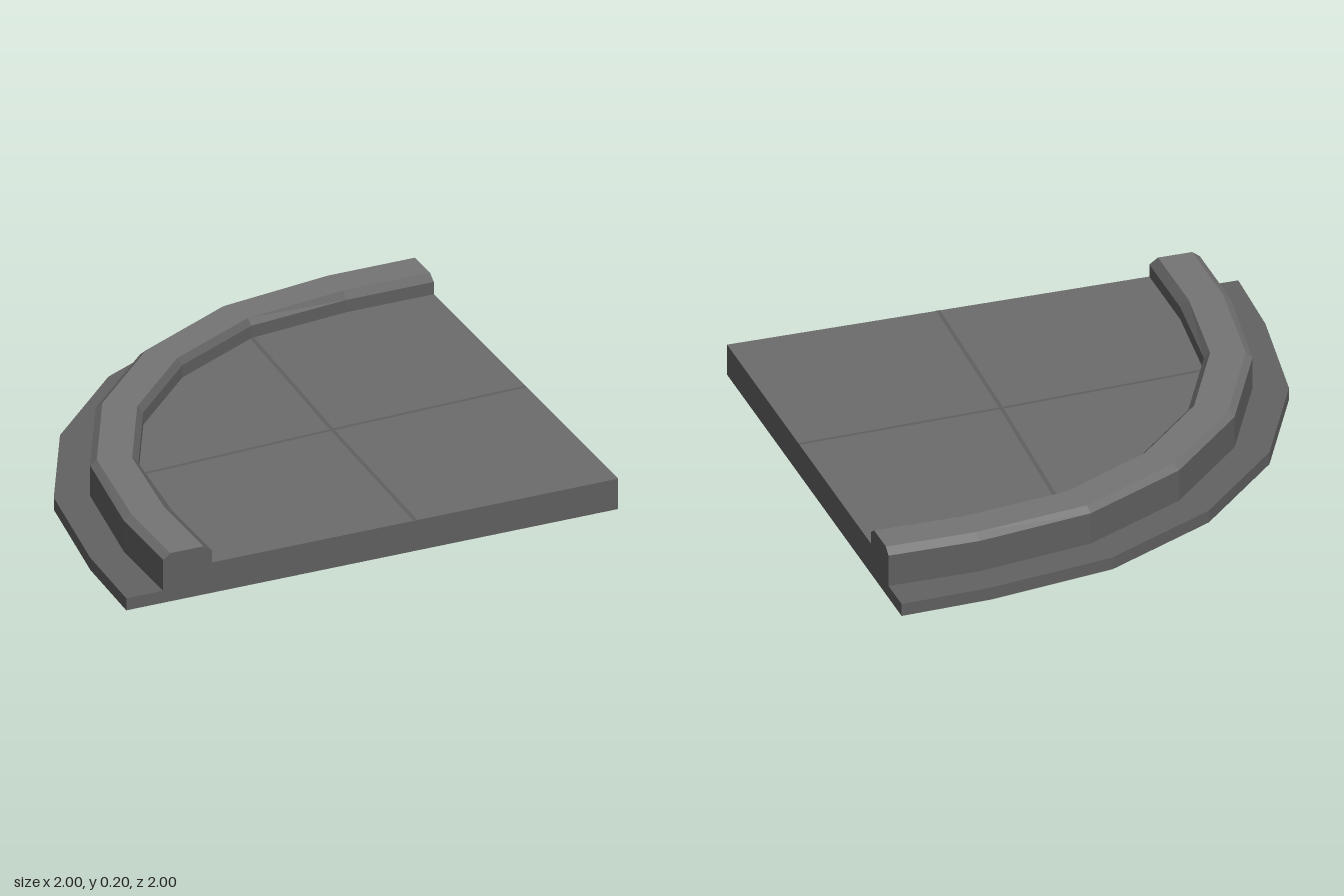
import * as THREE from 'three';

const CENTER = 0.645; // centre of the corner arc, in x and z
const STEPS = 5;
const paint = (color) => new THREE.MeshStandardMaterial({
  color, flatShading: true, side: THREE.DoubleSide,
});
const sideGrey = paint(0x5e5e5e);
const ledgeGrey = paint(0x626262);
const floorGrey = paint(0x6c6c6c);
const bevelGrey = paint(0x6e6e6e);
const topGrey = paint(0x747474);
const jointGrey = paint(0x606060);

// Rounded-corner path as [x, z]: straight run, quarter arc, straight run.
// edge is where the arc meets the straights, end is where the straights stop.
function cornerPath(r, edge = CENTER - r, end = edge) {
  const pts = [[end, 1], [edge, CENTER]];
  for (let i = 1; i < STEPS; i++) {
    const a = (i / STEPS) * Math.PI / 2;
    pts.push([CENTER - r * Math.cos(a), CENTER - r * Math.sin(a)]);
  }
  pts.push([CENTER, edge], [1, end]);
  return pts;
}

const toShape = (outline) => new THREE.Shape(outline.map(([x, z]) => new THREE.Vector2(x, -z)));

function addMesh(group, name, geometry, material) {
  const mesh = new THREE.Mesh(geometry, material);
  mesh.name = name;
  group.add(mesh);
}

// Flat plate with an [x, z] outline between two heights
function plate(outline, y0, y1) {
  const geo = new THREE.ExtrudeGeometry(toShape(outline), { depth: y1 - y0, bevelEnabled: false });
  return geo.rotateX(-Math.PI / 2).translate(0, y0, 0);
}

// Sweep a convex [radius, edge, y] profile round the corner, with capped ends;
// each profile side is one material group, and the caps are the last group
function sweepRim(profile) {
  const rails = profile.map(([r, edge, y]) => cornerPath(r, edge).map(([x, z]) => [x, y, z]));
  const n = profile.length, last = rails[0].length - 1, pos = [];
  const geo = new THREE.BufferGeometry();
  for (let j = 0; j < n; j++) {
    const p = rails[j], q = rails[(j + 1) % n];
    for (let i = 0; i < last; i++) {
      pos.push(...p[i], ...q[i], ...q[i + 1], ...p[i], ...q[i + 1], ...p[i + 1]);
    }
    geo.addGroup(j * last * 6, last * 6, j);
  }
  for (let j = 1; j < n - 1; j++) {
    pos.push(...rails[0][0], ...rails[j + 1][0], ...rails[j][0]);
    pos.push(...rails[0][last], ...rails[j][last], ...rails[j + 1][last]);
  }
  geo.addGroup(n * last * 6, (n - 2) * 6, n);
  geo.setAttribute('position', new THREE.Float32BufferAttribute(pos, 3));
  geo.computeVertexNormals();
  return geo;
}

export function createModel() {
  const group = new THREE.Group();
  group.name = 'cornerFloorTile';

  // Base with its outer ledge, and the raised floor bed
  const inner = cornerPath(1.315, -0.652);
  const base = [...cornerPath(1.63, -0.985, -1), [1, 1]];
  addMesh(group, 'baseLedge', plate(base, 0, 0.05), [ledgeGrey, sideGrey]);
  addMesh(group, 'floorBed', plate([...inner, [1, 1]], 0.05, 0.126), [floorGrey, sideGrey]);

  // Bevelled curb
  const curb = sweepRim([
    [1.495, -0.85, 0.05], [1.495, -0.85, 0.177], [1.47, -0.82, 0.2],
    [1.338, -0.686, 0.2], [1.315, -0.652, 0.177], [1.315, -0.652, 0.05],
  ]);
  addMesh(group, 'curb', curb,
    [sideGrey, bevelGrey, topGrey, sideGrey, sideGrey, sideGrey, sideGrey]);

  // Two slightly bent joint lines crossing the floor, mirrored about the diagonal
  const h = 0.008, m = 0.2, e = 0.175;
  const [wx, wz] = inner[2];
  const joint = [
    [wx, wz - h], [m, m - h], [1, e - h],
    [1, e + h], [m, m + h], [wx, wz + h],
  ];
  const mirrored = joint.map(([x, z]) => [z, x]);
  [joint, mirrored].forEach((outline, i) => {
    const geo = new THREE.ShapeGeometry(toShape(outline));
    geo.rotateX(-Math.PI / 2).translate(0, 0.127, 0);
    addMesh(group, `floorJoint${i + 1}`, geo, jointGrey);
  });

  return group;
}
